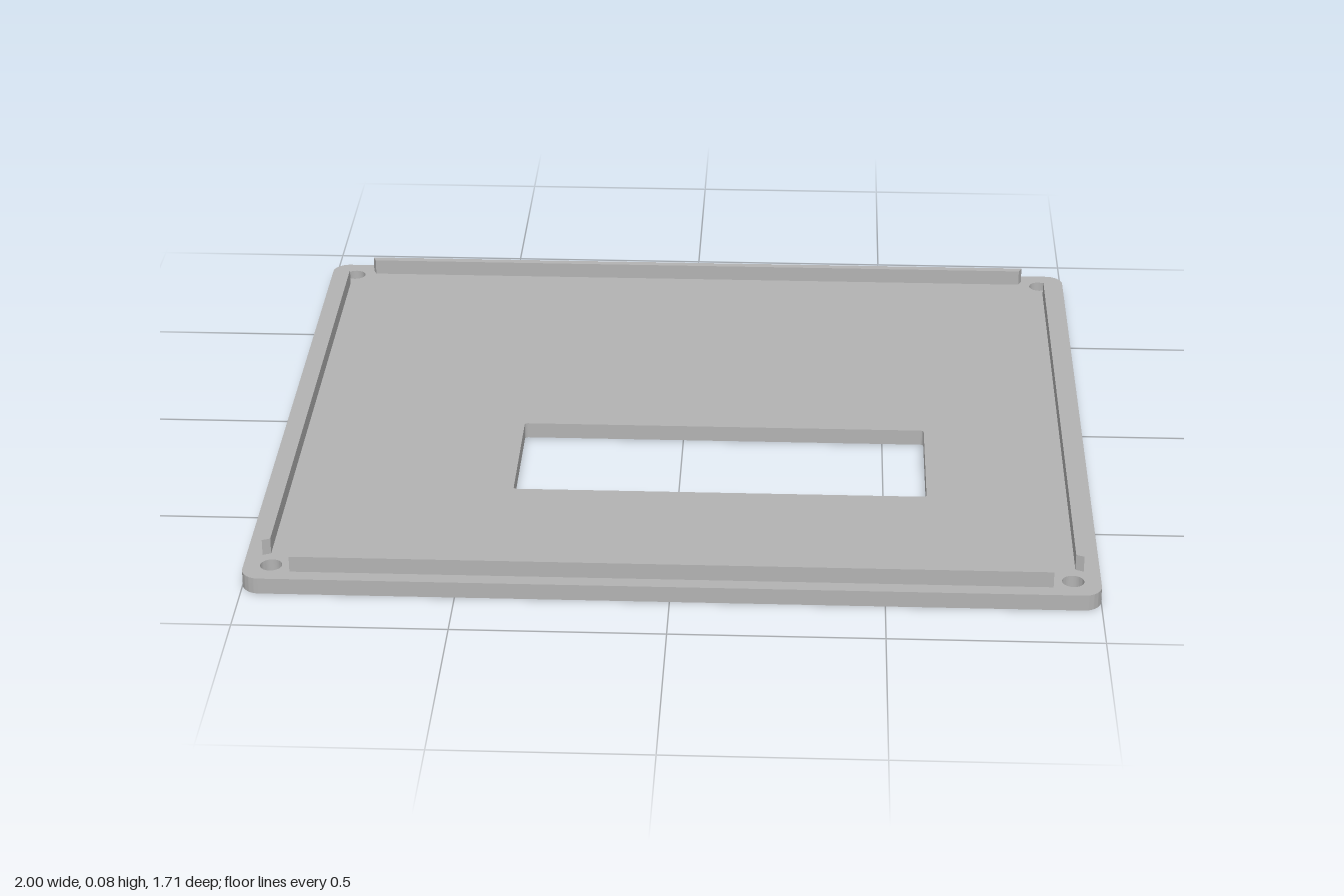
import * as THREE from 'three';
import { toCreasedNormals } from 'three/addons/utils/BufferGeometryUtils.js';

const PLATE = 0.04, RAIL = 0.04;

// Traces a rounded rectangle on a shape or path
function roundedRect(path, x0, y0, x1, y1, r) {
  path.moveTo(x0 + r, y0);
  path.lineTo(x1 - r, y0);
  path.absarc(x1 - r, y0 + r, r, -Math.PI / 2, 0);
  path.lineTo(x1, y1 - r);
  path.absarc(x1 - r, y1 - r, r, 0, Math.PI / 2);
  path.lineTo(x0 + r, y1);
  path.absarc(x0 + r, y1 - r, r, Math.PI / 2, Math.PI);
  path.lineTo(x0, y0 + r);
  path.absarc(x0 + r, y0 + r, r, Math.PI, Math.PI * 1.5);
  return path;
}

// Extrudes a ground-plan shape (shape y = -z) upwards
function extrudeUp(shape, height) {
  const geo = new THREE.ExtrudeGeometry(shape, { depth: height, bevelEnabled: false, curveSegments: 10 });
  geo.rotateX(-Math.PI / 2);
  return toCreasedNormals(geo, 0.6);
}

export function createModel() {
  const group = new THREE.Group();
  const grey = new THREE.MeshStandardMaterial({ color: 0xb3b3b3 });
  grey.name = 'grey';

  const add = (name, geo) => {
    const mesh = new THREE.Mesh(geo, grey);
    mesh.name = name;
    group.add(mesh);
    return mesh;
  };

  // Panel with display window and four screw holes
  const panel = roundedRect(new THREE.Shape(), -1, -0.857, 1, 0.857, 0.043);
  panel.holes.push(roundedRect(new THREE.Path(), -0.4, -0.402, 0.604, -0.06, 0.008));
  for (const sx of [-1, 1]) {
    for (const sz of [-1, 1]) {
      panel.holes.push(new THREE.Path().absarc(sx * 0.935, sz * 0.793, 0.026, 0, Math.PI * 2));
    }
  }
  add('panel', extrudeUp(panel, PLATE));

  // Locating rails with slightly mitred ends, longer on the outer side
  const rail = (name, half, inner, outer, mitre, angle) => {
    const shape = new THREE.Shape([
      new THREE.Vector2(-half, -outer),
      new THREE.Vector2(half, -outer),
      new THREE.Vector2(half - mitre, -inner),
      new THREE.Vector2(-half + mitre, -inner),
    ]);
    const mesh = add(name, extrudeUp(shape, RAIL));
    mesh.position.y = PLATE;
    mesh.rotation.y = angle;
  };
  rail('frontRail', 0.888, 0.803, 0.822, 0.008, 0);
  rail('backRail', 0.888, 0.803, 0.822, 0.008, Math.PI);
  rail('leftRail', 0.747, 0.943, 0.962, 0.008, Math.PI / 2);
  rail('rightRail', 0.747, 0.943, 0.962, 0.008, -Math.PI / 2);

  return group;
}
